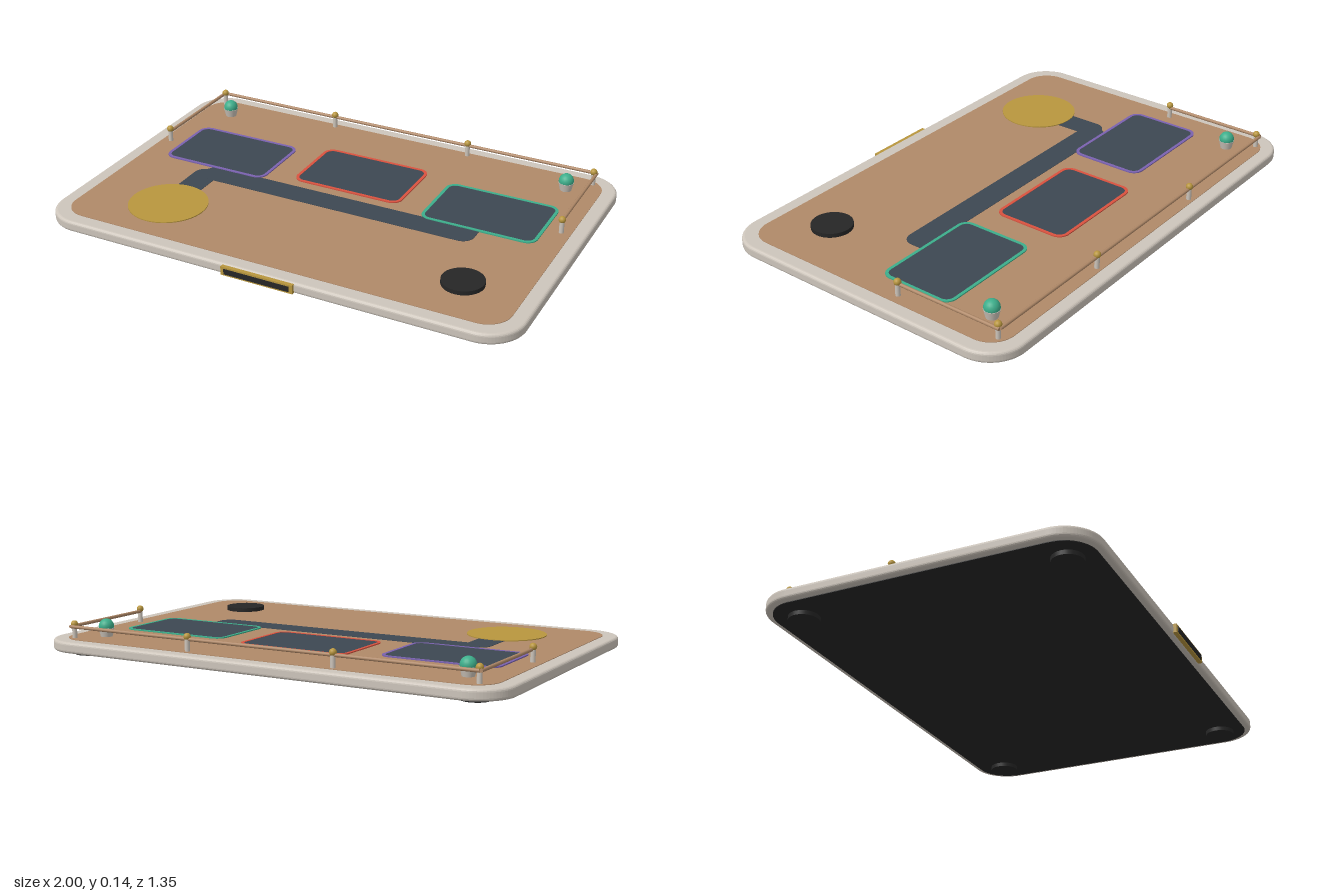
import * as THREE from 'three';

const mat = (name, color) => {
  const m = new THREE.MeshStandardMaterial({ color });
  m.name = name;
  return m;
};

// Rounded rectangle outline centred on the origin
function roundedRect(w, d, r, Type = THREE.Shape) {
  const s = new Type(), x = w / 2, y = d / 2;
  s.moveTo(-x + r, -y);
  s.lineTo(x - r, -y);
  s.absarc(x - r, -y + r, r, -Math.PI / 2, 0);
  s.lineTo(x, y - r);
  s.absarc(x - r, y - r, r, 0, Math.PI / 2);
  s.lineTo(-x + r, y);
  s.absarc(-x + r, y - r, r, Math.PI / 2, Math.PI);
  s.lineTo(-x, -y + r);
  s.absarc(-x + r, -y + r, r, Math.PI, Math.PI * 1.5);
  return s;
}

export function createModel() {
  const model = new THREE.Group();
  model.name = 'tray';
  const shell = mat('warmGrey', 0xcdc5bb);
  const wood = mat('wood', 0xb08968);
  const slate = mat('slate', 0x3d4752);
  const black = mat('black', 0x262626);
  const brass = mat('brass', 0xb8963e);
  const green = mat('green', 0x3dae8b);
  const red = mat('red', 0xd9523f);
  const purple = mat('purple', 0x7a62b0);

  function add(name, geometry, material, x = 0, y = 0, z = 0, parent = model) {
    const mesh = new THREE.Mesh(geometry, material);
    mesh.name = name;
    mesh.position.set(x, y, z);
    parent.add(mesh);
    return mesh;
  }

  // Flat slab lying in the xz plane between two heights
  function slab(name, shape, material, x, z, y0, y1, bevel = 0) {
    const geometry = new THREE.ExtrudeGeometry(shape, {
      depth: y1 - y0 - 2 * bevel, curveSegments: 10, bevelEnabled: bevel > 0,
      bevelThickness: bevel, bevelSize: bevel, bevelOffset: -bevel, bevelSegments: 4,
    });
    geometry.rotateX(-Math.PI / 2);
    return add(name, geometry, material, x, y0 + bevel, z);
  }

  // Rod between two points
  function rod(name, a, b, r, material) {
    const mesh = add(name, new THREE.CylinderGeometry(r, r, a.distanceTo(b), 10), material);
    mesh.position.copy(a).lerp(b, 0.5);
    mesh.quaternion.setFromUnitVectors(new THREE.Vector3(0, 1, 0), b.clone().sub(a).normalize());
  }

  // Body, top inlay and base plate
  slab('body', roundedRect(2, 1.33, 0.15), shell, 0, -0.01, 0.02, 0.065, 0.012);
  slab('topInlay', roundedRect(1.88, 1.215, 0.1), wood, 0, -0.0125, 0.06, 0.067);
  slab('basePlate', roundedRect(1.95, 1.28, 0.13), black, 0, -0.01, 0.017, 0.022);

  // Feet
  for (const x of [-0.85, 0.85]) {
    for (const z of [0.52, -0.535]) {
      add('foot', new THREE.CylinderGeometry(0.06, 0.06, 0.02, 28), black, x, 0.01, z);
    }
  }

  // Path strips joining the pads
  slab('pathAcross', roundedRect(1.225, 0.11, 0.05), slate, 0.0025, 0.045, 0.064, 0.0685);
  slab('pathToDisc', roundedRect(0.11, 0.25, 0.05), slate, -0.587, 0.145, 0.064, 0.0684);
  slab('pathToPad', roundedRect(0.11, 0.18, 0.05), slate, 0.56, 0.01, 0.064, 0.0684);

  // Three pads with coloured frames
  const pads = [
    ['leftPad', -0.5975, -0.162, purple],
    ['middlePad', 0, -0.218, red],
    ['rightPad', 0.5975, -0.162, green],
  ];
  for (const [name, x, z, color] of pads) {
    slab(name, roundedRect(0.465, 0.305, 0.035), slate, x, z, 0.064, 0.0702);
    const frame = roundedRect(0.484, 0.326, 0.045);
    frame.holes.push(roundedRect(0.458, 0.3, 0.032, THREE.Path));
    slab(name + 'Frame', frame, color, x, z, 0.065, 0.0715);
  }

  // Brass disc and raised black knob
  add('brassDisc', new THREE.CylinderGeometry(0.162, 0.162, 0.007, 48), brass, -0.588, 0.0675, 0.354);
  add('knob', new THREE.CylinderGeometry(0.083, 0.083, 0.02, 36), black, 0.703, 0.074, 0.377);

  // Front plate with dark insert
  add('frontPlate', new THREE.BoxGeometry(0.305, 0.036, 0.02), brass, 0, 0.0425, 0.658);
  add('frontInsert', new THREE.BoxGeometry(0.276, 0.022, 0.004), black, 0, 0.0425, 0.669);

  // Lamps in tapered cups
  for (const x of [-0.8, 0.8]) {
    add('lampCup', new THREE.CylinderGeometry(0.032, 0.023, 0.038, 20), shell, x, 0.083, -0.49);
    add('lamp', new THREE.SphereGeometry(0.031, 20, 14), green, x, 0.108, -0.49);
  }

  // Railing: posts with brass finials, joined by thin rods
  const posts = [
    [-0.9, -0.142], [-0.885, -0.585], [-0.32, -0.598],
    [0.32, -0.598], [0.885, -0.585], [0.9, -0.142],
  ];
  for (const [x, z] of posts) {
    add('railPost', new THREE.CylinderGeometry(0.01, 0.01, 0.055, 12), shell, x, 0.0925, z);
    add('finial', new THREE.SphereGeometry(0.0145, 14, 10), brass, x, 0.124, z);
  }
  const railY = 0.114;
  rod('backRail', new THREE.Vector3(-0.89, railY, -0.598), new THREE.Vector3(0.89, railY, -0.598), 0.007, wood);
  for (const s of [-1, 1]) {
    rod('sideRail', new THREE.Vector3(s * 0.895, railY, -0.598), new THREE.Vector3(s * 0.897, railY, -0.142), 0.007, wood);
  }
  return model;
}
